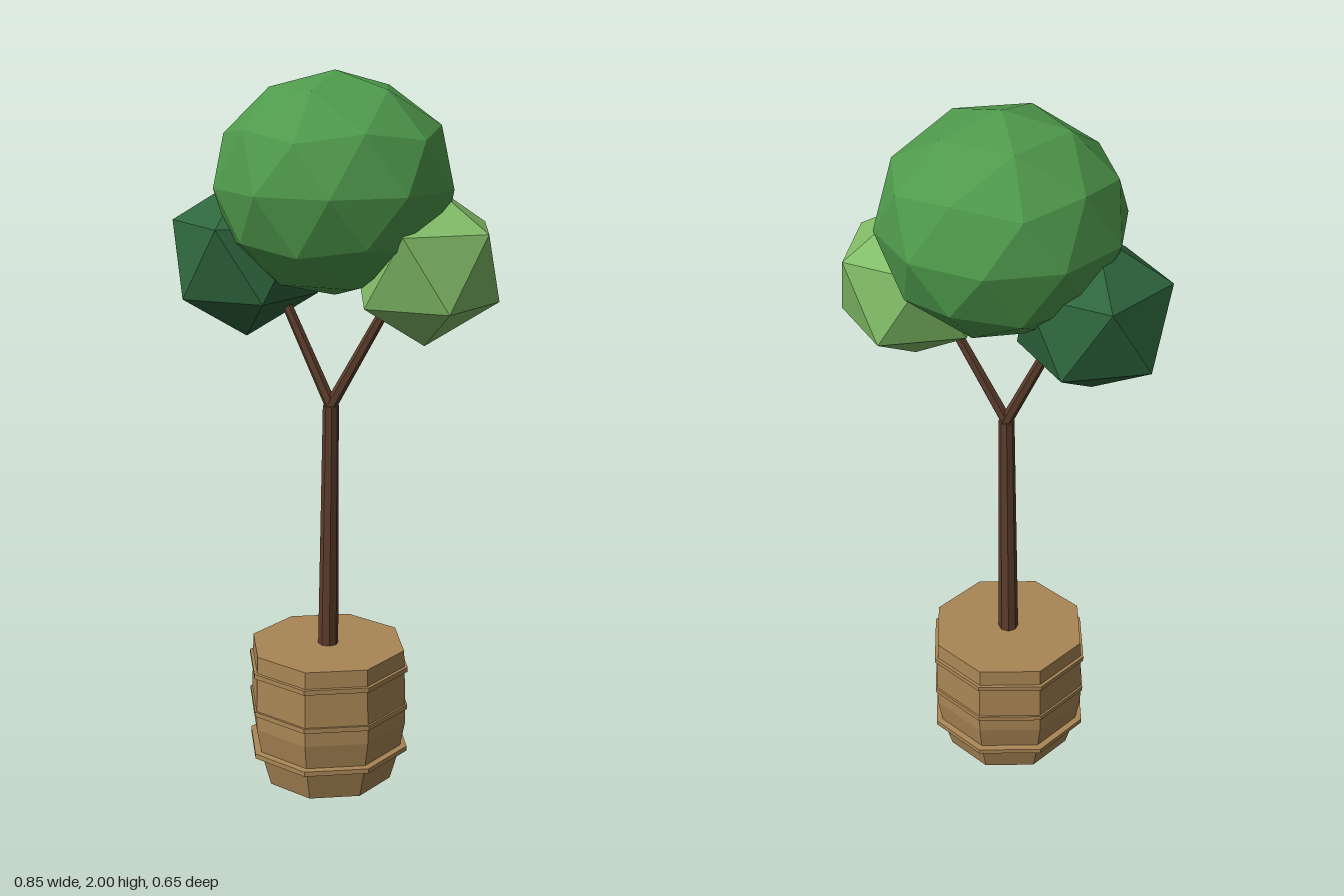
import * as THREE from 'three';

const material = (name, color) => {
  const m = new THREE.MeshStandardMaterial({ color, flatShading: true });
  m.name = name;
  return m;
};

// Icosphere with a vertex at each pole, upper ring starting at +x
function icosphere(radius, detail) {
  const ringY = 1 / Math.sqrt(5), ringR = 2 * ringY;
  const vertices = [0, 1, 0], faces = [];
  for (const [y, start] of [[ringY, 0], [-ringY, Math.PI / 5]]) {
    for (let k = 0; k < 5; k++) {
      const a = start + k * Math.PI * 2 / 5;
      vertices.push(ringR * Math.cos(a), y, -ringR * Math.sin(a));
    }
  }
  vertices.push(0, -1, 0);
  for (let k = 0; k < 5; k++) {
    const n = (k + 1) % 5;
    const u = 1 + k, u2 = 1 + n, l = 6 + k, l2 = 6 + n;
    faces.push(0, u, u2, u, l, u2, l, l2, u2, 11, l2, l);
  }
  return new THREE.PolyhedronGeometry(vertices, faces, radius, detail);
}

export function createModel() {
  const group = new THREE.Group();
  group.name = 'pottedTree';
  const wood = material('barrelWood', 0xa98655);
  const bark = material('bark', 0x5c3d2c);
  const midGreen = material('midGreen', 0x4f9a4c);
  const lightGreen = material('lightGreen', 0x82bd68);
  const darkGreen = material('darkGreen', 0x2e663d);

  const add = (name, geometry, mat, x = 0, y = 0, z = 0) => {
    const mesh = new THREE.Mesh(geometry, mat);
    mesh.name = name;
    mesh.position.set(x, y, z);
    group.add(mesh);
    return mesh;
  };

  // Octagonal barrel with flat sides facing the axes; radii are measured to the flats
  const corner = 1 / Math.cos(Math.PI / 8);
  const octagonal = (profile) => new THREE.LatheGeometry(
    profile.map(([r, y]) => new THREE.Vector2(r * corner, y)), 8, Math.PI / 8);
  const barrelX = -0.015;
  add('barrel', octagonal([
    [0, 0], [0.172, 0], [0.198, 0.1], [0.212, 0.18], [0.212, 0.23],
    [0.209, 0.34], [0.207, 0.4], [0, 0.4],
  ]), wood, barrelX);

  // Hoops around the barrel
  for (const y of [0.1, 0.23, 0.345]) {
    add('hoop', octagonal([
      [0.19, -0.008], [0.217, -0.008], [0.217, 0.006], [0.19, 0.008],
    ]), wood, barrelX, y);
  }

  // Leaning trunk and its two branches
  const limb = (name, from, to, r0, r1, sides) => {
    const a = new THREE.Vector3(...from), b = new THREE.Vector3(...to);
    const dir = b.clone().sub(a);
    const mesh = add(name, new THREE.CylinderGeometry(r1, r0, dir.length(), sides), bark);
    mesh.position.copy(a).add(b).multiplyScalar(0.5);
    mesh.quaternion.setFromUnitVectors(new THREE.Vector3(0, 1, 0), dir.normalize());
  };
  const fork = [0.004, 1.105, 0.01];
  limb('trunk', [-0.014, 0.38, 0], fork, 0.029, 0.022, 8);
  limb('leftBranch', fork, [0.195, 1.5, -0.09], 0.017, 0.013, 6);
  limb('rightBranch', fork, [-0.18, 1.5, 0.06], 0.017, 0.013, 6);

  // Leaf crowns
  const crown = icosphere(0.327, 1);
  crown.scale(1, 0.295 / 0.327, 1);
  add('mainCrown', crown, midGreen, 0.01, 1.705, 0);
  add('leftCrown', icosphere(0.22, 0), lightGreen, 0.228, 1.5, -0.11);
  add('rightCrown', icosphere(0.22, 0), darkGreen, -0.232, 1.5, 0.085);

  return group;
}
